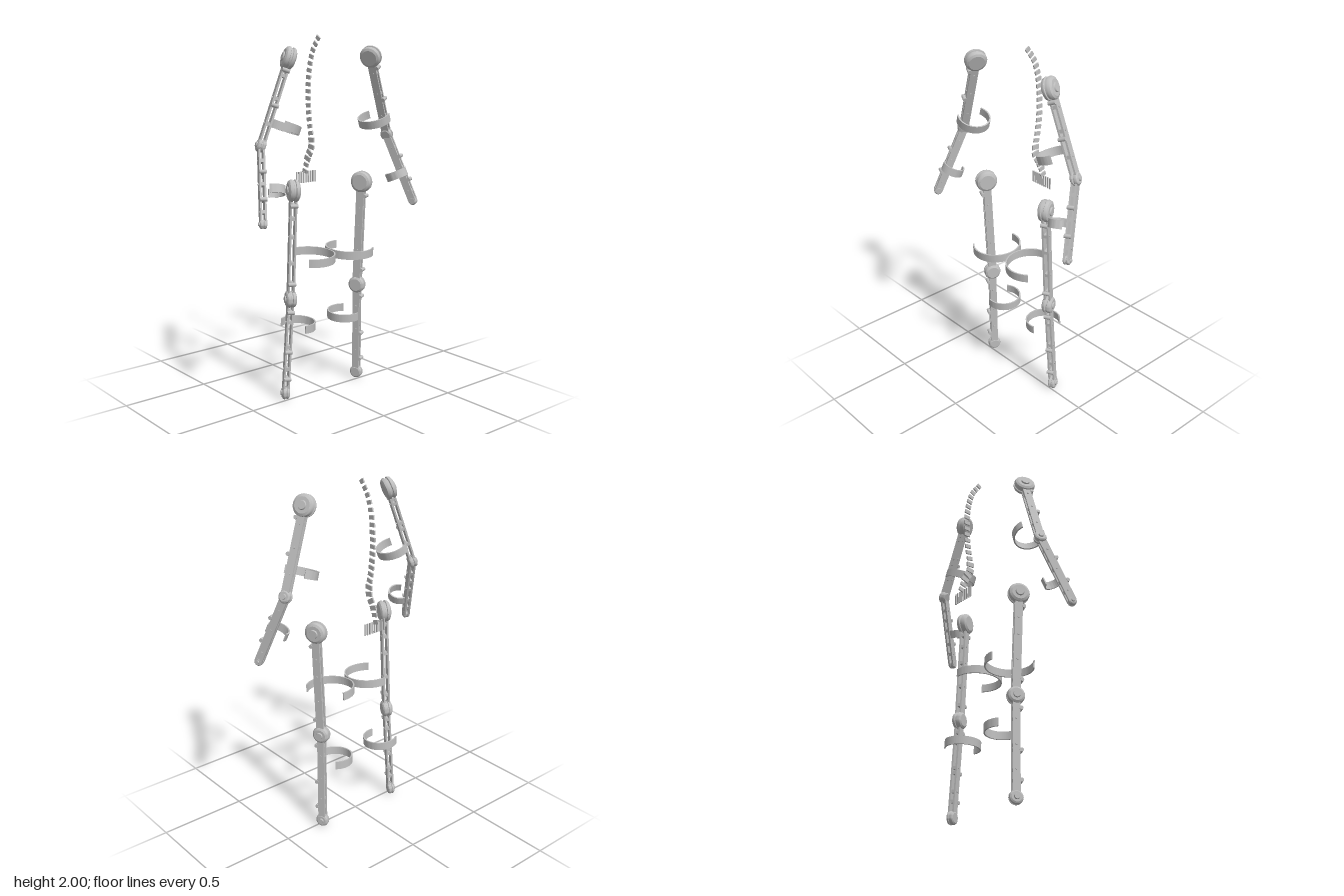
import * as THREE from 'three';
import { toCreasedNormals } from 'three/addons/utils/BufferGeometryUtils.js';

const metal = new THREE.MeshStandardMaterial({ color: 0xbfbfbf });
metal.name = 'light grey metal';
const V = (x, y, z) => new THREE.Vector3(x, y, z);

function add(parent, name, geo, x = 0, y = 0, z = 0) {
  const m = new THREE.Mesh(geo, metal);
  m.name = name;
  m.position.set(x, y, z);
  parent.add(m);
  return m;
}

// Group whose local axes follow y (given) and x (squared up against y).
function frame(name, origin, up, side) {
  const y = up.clone().normalize();
  const x = side.clone().addScaledVector(y, -side.dot(y)).normalize();
  const z = x.clone().cross(y);
  const g = new THREE.Group();
  g.name = name;
  g.quaternion.setFromRotationMatrix(new THREE.Matrix4().makeBasis(x, y, z));
  g.position.copy(origin);
  return g;
}

// Grooved double disc turned around the hinge axis, with a cap on the outside.
function joint(parent, name, R, h, y, s) {
  const profile = [[0, -1], [.72, -1], [.92, -.78], [1, -.45], [1, -.25], [.9, -.15],
    [.9, .15], [1, .25], [1, .45], [.92, .78], [.72, 1], [0, 1]]
    .map(([r, t]) => new THREE.Vector2(r * R, t * h));
  const disc = new THREE.LatheGeometry(profile, 32).rotateZ(-Math.PI / 2);
  add(parent, name, toCreasedNormals(disc, 0.5), 0, y, 0);
  const cap = new THREE.CylinderGeometry(R * .36, R * .42, .008, 24).rotateZ(-s * Math.PI / 2);
  add(parent, name + 'Cap', cap, s * (h + .003), y, 0);
}

// Two parallel rails with spacers, lugs and bolts between two joints.
function limb(parent, name, a, b, s, o) {
  const yaw = o.yaw * Math.PI / 180;
  const g = frame(name, a, a.clone().sub(b), V(Math.cos(yaw), 0, -s * Math.sin(yaw)));
  parent.add(g);
  const L = a.distanceTo(b);
  for (const k of [-1, 1]) {
    add(g, 'rail', new THREE.BoxGeometry(.010, L, o.width), k * (o.thick / 2 - .005), -L / 2, 0);
    for (const t of o.bolts) {
      const bolt = new THREE.CylinderGeometry(.006, .006, .006, 12).rotateZ(Math.PI / 2);
      add(g, 'bolt', bolt, k * (o.thick / 2 + .001), -L * t, 0);
    }
  }
  // Spacers fill the gap; lugs stand out of the front edge.
  for (const t of [...o.bolts, ...o.lugs])
    add(g, 'spacer', new THREE.BoxGeometry(o.thick - .012, .018, o.width - .006), 0, -L * t, 0);
  for (const t of o.lugs) {
    const lug = new THREE.CylinderGeometry(.011, .011, o.thick + .004, 12).rotateZ(Math.PI / 2);
    add(g, 'lug', lug, 0, -L * t, o.width / 2 + .006);
  }
  if (o.top) joint(g, o.top[0], o.top[1], o.top[2], 0, s);
  if (o.end) joint(g, o.end[0], o.end[1], o.end[2], -L, s);
}

// Open C-shaped band around the limb direction.
function cuff(parent, name, centre, axis, mid, R, half) {
  const a = half * Math.PI / 180, shape = new THREE.Shape();
  shape.absarc(0, 0, R, -a, a, false);
  shape.absarc(0, 0, R - .008, a, -a, true);
  const geo = new THREE.ExtrudeGeometry(shape, { depth: .045, bevelEnabled: false, curveSegments: 40 });
  geo.translate(0, 0, -.0225).rotateX(-Math.PI / 2);
  const g = frame(name, centre, axis, mid);
  add(g, name + 'Band', toCreasedNormals(geo, 0.5));
  parent.add(g);
}

function side(s) {
  const P = (x, y, z) => V(s * x, y, z);
  const g = new THREE.Group();
  g.name = s > 0 ? 'leftLimbs' : 'rightLimbs';

  // Leg
  const hip = P(.243, 1.19, .037), knee = P(.243, .585, .005), ankle = P(.264, .04, -.02);
  limb(g, 'thigh', hip, knee, s, {
    yaw: 25, width: .044, thick: .038, bolts: [.25, .42, .66], lugs: [.13, .85],
    top: ['hipJoint', .06, .031], end: ['kneeJoint', .048, .028],
  });
  limb(g, 'shin', knee, ankle, s, {
    yaw: 25, width: .040, thick: .036, bolts: [.24, .5, .74], lugs: [.13, .55, .84],
    end: ['ankleJoint', .037, .02],
  });
  cuff(g, 'thighCuff', P(.14, .815, .052), hip.clone().sub(knee), P(-.95, 0, .31), .136, 114);
  cuff(g, 'shinCuff', P(.171, .418, -.024), knee.clone().sub(ankle), P(-.97, 0, -.22), .099, 115);

  // Arm
  const shoulder = P(.285, 1.885, .058), elbow = P(.444, 1.445, .026), wrist = P(.532, 1.065, .16);
  limb(g, 'upperArm', shoulder, elbow, s, {
    yaw: 23, width: .044, thick: .036, bolts: [.2, .46, .75], lugs: [.14, .54],
    top: ['shoulderJoint', .06, .03], end: ['elbowJoint', .035, .022],
  });
  limb(g, 'forearm', elbow, wrist, s, {
    yaw: 23, width: .044, thick: .034, bolts: [.2, .5, .85], lugs: [.35, .7],
    end: ['wristJoint', .024, .018],
  });
  cuff(g, 'upperArmCuff', P(.318, 1.54, .055), shoulder.clone().sub(elbow), P(-.95, 0, .1), .091, 122);
  cuff(g, 'forearmCuff', P(.436, 1.222, .12), elbow.clone().sub(wrist), P(-.8, 0, .5), .062, 112);
  return g;
}

function spine() {
  const g = new THREE.Group();
  g.name = 'spine';
  const curve = new THREE.CatmullRomCurve3([
    [1.986, -.053], [1.915, -.1], [1.82, -.128], [1.72, -.138], [1.61, -.137],
    [1.52, -.127], [1.43, -.112], [1.385, -.115], [1.33, -.145], [1.25, -.17],
  ].map(([y, z]) => V(0, y, z)));
  const n = 21;
  for (let i = 0; i < n; i++) {
    const t = i / (n - 1), d = curve.getTangentAt(t).negate();
    const low = t > .72 && t < .95;
    const f = frame('vertebra', curve.getPointAt(t), d, V(1, 0, 0));
    add(f, 'vertebraPlate', new THREE.BoxGeometry(.008, low ? .026 : .022, low ? .046 : .029 + .008 * Math.min(1, t * 3)));
    g.add(f);
  }
  // Comb of upright bars at the base
  for (let i = -4; i <= 4; i++) add(g, 'pelvisBar', new THREE.BoxGeometry(.008, .065, .006), i * .0167, 1.218, -.16);
  return g;
}

export function createModel() {
  const model = new THREE.Group();
  model.name = 'limbFrame';
  model.add(side(1), side(-1), spine());
  return model;
}
